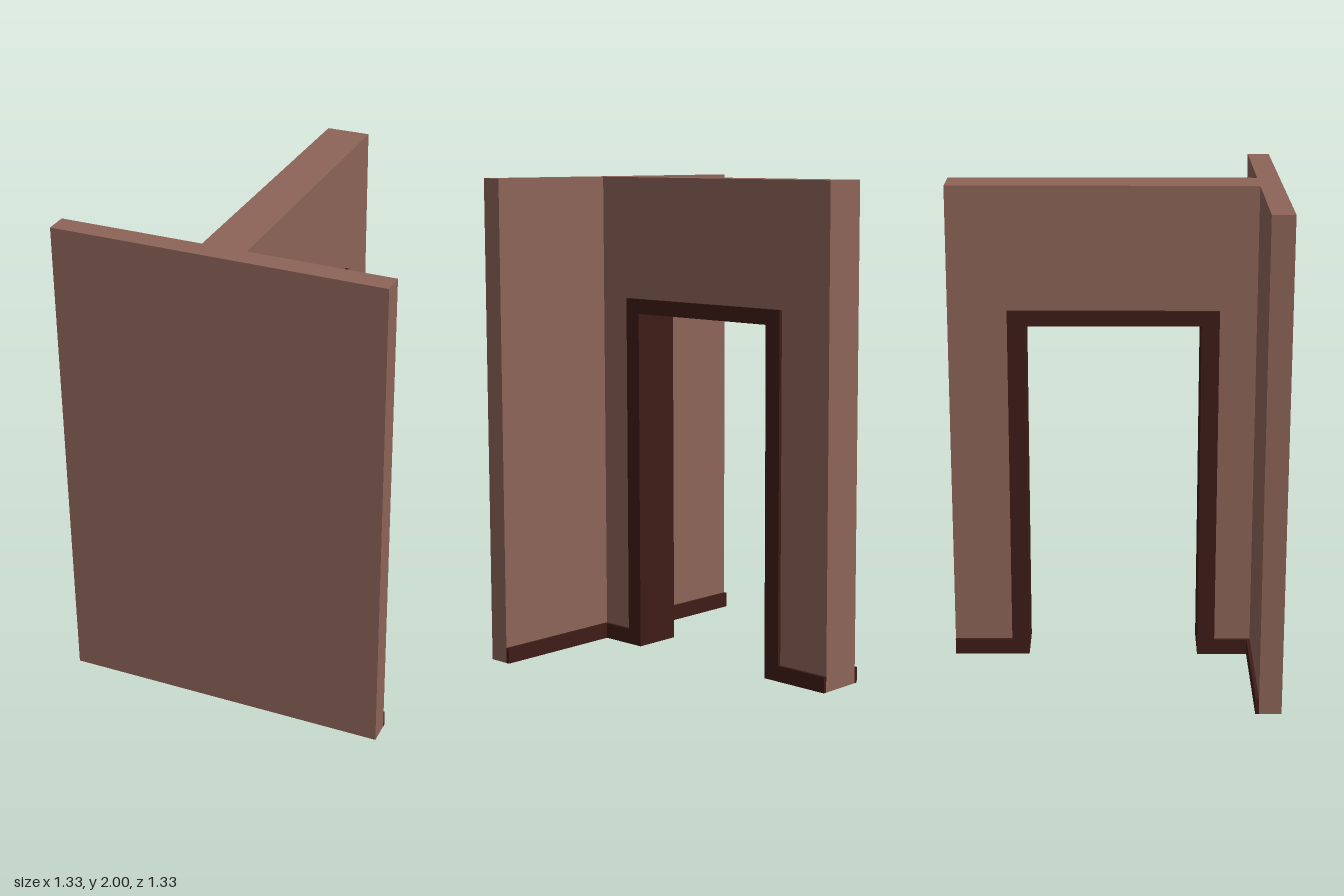
import * as THREE from 'three';

const wallMat = new THREE.MeshStandardMaterial({ color: 0x8d6458 });
const trimMat = new THREE.MeshStandardMaterial({ color: 0x3e1c17 });

const HALF = 0.667, HEIGHT = 2;
const WALL_BACK = 0.577;   // rear face of the front wall
const STEM = 0.089;        // half thickness of the cross wall
const TRIM = 0.014;        // how far trim stands proud
const OPEN = 0.355, OPEN_TOP = 1.433;
const CASE = 0.427, CASE_TOP = 1.495;
const LINING = 0.004;
const SKIRT = 0.065;

export function createModel() {
  const group = new THREE.Group();

  const add = (name, geometry, material) => {
    const mesh = new THREE.Mesh(geometry, material);
    mesh.name = name;
    group.add(mesh);
  };

  // Box given by its limits on each axis
  const box = (name, material, [x0, x1], [y0, y1], [z0, z1]) => {
    const g = new THREE.BoxGeometry(x1 - x0, y1 - y0, z1 - z0);
    g.translate((x0 + x1) / 2, (y0 + y1) / 2, (z0 + z1) / 2);
    add(name, g, material);
  };

  // Arch-like outline in the z-y plane, extruded between two x positions
  const portal = (name, material, z0, z1, top, inner, innerTop, x0, x1) => {
    const shape = new THREE.Shape([
      [z0, 0], [-inner, 0], [-inner, innerTop], [inner, innerTop],
      [inner, 0], [z1, 0], [z1, top], [z0, top],
    ].map(([z, y]) => new THREE.Vector2(z, y)));
    const g = new THREE.ExtrudeGeometry(shape, { depth: x1 - x0, bevelEnabled: false });
    g.rotateY(-Math.PI / 2);
    g.translate(x1, 0, 0);
    add(name, g, material);
  };

  // Walls forming a T, with a doorway through the cross wall
  box('frontWall', wallMat, [-HALF, HALF], [0, HEIGHT], [WALL_BACK, HALF]);
  portal('crossWall', wallMat, -HALF, WALL_BACK, HEIGHT,
    OPEN + LINING, OPEN_TOP + LINING, -STEM, STEM);

  // Lining inside the doorway
  portal('doorLining', trimMat, -OPEN - LINING, OPEN + LINING, OPEN_TOP + LINING,
    OPEN, OPEN_TOP, -STEM, STEM);

  // Door casing and skirting on both sides
  for (const side of [-1, 1]) {
    const span = (a, b) => (side > 0 ? [a, b] : [-b, -a]);
    const proud = span(STEM, STEM + TRIM);
    portal('doorCasing', trimMat, -CASE, CASE, CASE_TOP, OPEN, OPEN_TOP, ...proud);
    box('rearSkirting', trimMat, proud, [0, SKIRT], [-HALF, -CASE]);
    box('innerSkirting', trimMat, proud, [0, SKIRT], [CASE, WALL_BACK]);
    box('frontWallSkirting', trimMat, span(STEM + TRIM, HALF), [0, SKIRT],
      [WALL_BACK - TRIM, WALL_BACK]);
  }

  return group;
}
